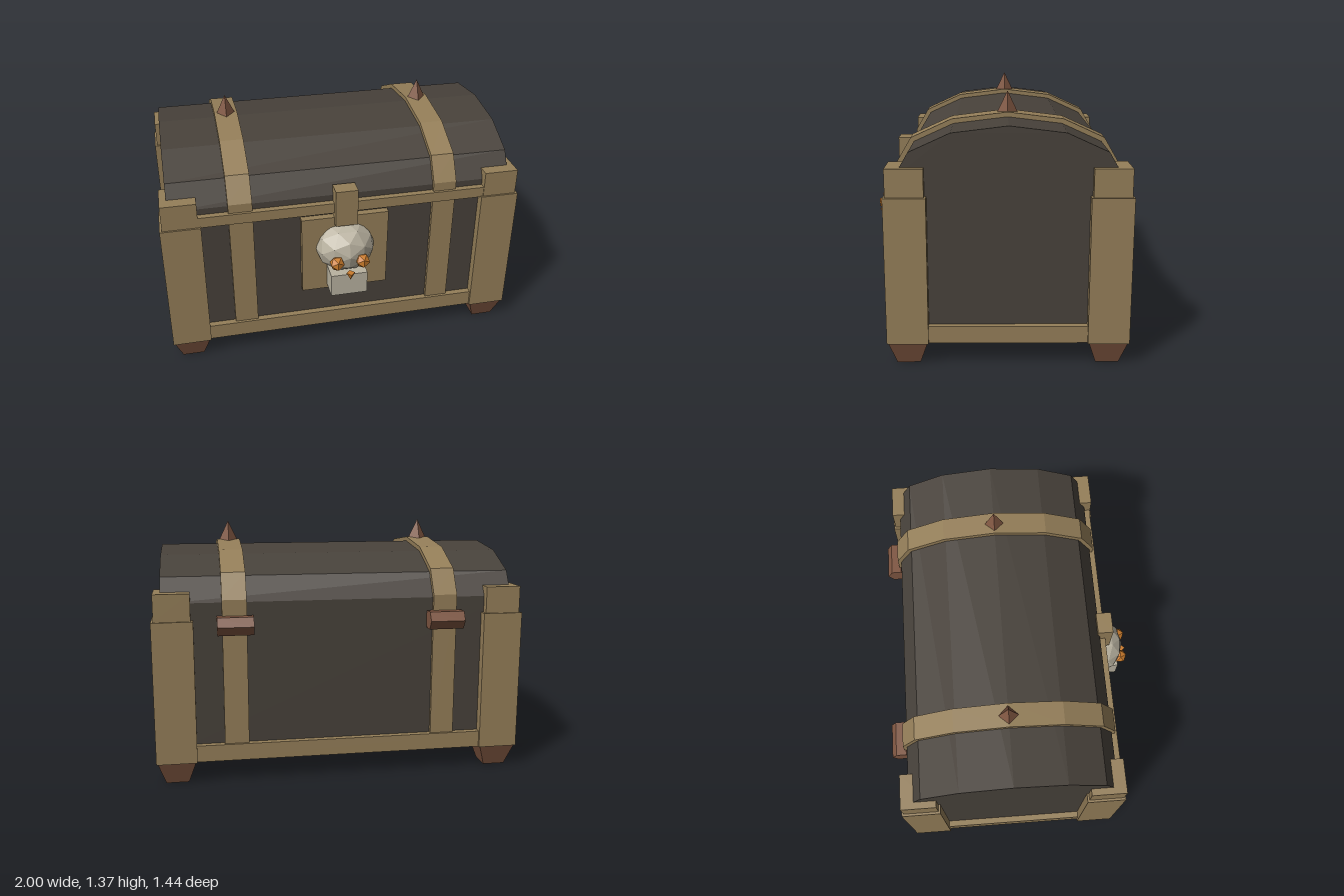
import * as THREE from 'three';

const MID = -0.055; // z of the chest's centre line

export function createModel() {
  const chest = new THREE.Group();
  chest.name = 'chest';
  const mat = (name, color) => {
    const m = new THREE.MeshStandardMaterial({ color });
    m.name = name;
    return m;
  };
  const leather = mat('dark leather', 0x48423b);
  const wood = mat('tan wood', 0x957f59);
  const rust = mat('rusty iron', 0x7f5641);
  const bone = mat('bone', 0xbab3a1);
  const amber = mat('amber', 0xcb7c2c);

  // Faceted mesh placed at a point
  const add = (name, geometry, material, x = 0, y = 0, z = 0) => {
    const g = geometry.index ? geometry.toNonIndexed() : geometry;
    g.computeVertexNormals();
    const mesh = new THREE.Mesh(g, material);
    mesh.name = name;
    mesh.position.set(x, y, z);
    chest.add(mesh);
    return mesh;
  };
  // Box given by its limits on each axis
  const box = (name, material, [x0, x1], [y0, y1], [z0, z1]) =>
    add(name, new THREE.BoxGeometry(x1 - x0, y1 - y0, z1 - z0), material,
      (x0 + x1) / 2, (y0 + y1) / 2, (z0 + z1) / 2);

  // Domed cross-section drawn out along x
  const domed = (halfDepth, bottom, spring, rise, width) => {
    const shape = new THREE.Shape();
    shape.moveTo(-halfDepth, bottom);
    shape.lineTo(halfDepth, bottom);
    for (let i = 0; i <= 6; i++) {
      const a = (i * Math.PI) / 6;
      shape.lineTo(halfDepth * Math.cos(a), spring + rise * Math.sin(a));
    }
    const g = new THREE.ExtrudeGeometry(shape, { depth: width, bevelEnabled: false });
    g.translate(0, 0, -width / 2);
    g.rotateY(-Math.PI / 2);
    return g;
  };

  // Body with domed lid, base frame and front rim
  add('bodyAndLid', domed(0.57, 0.15, 0.975, 0.26, 1.9), leather, 0, 0, MID);
  box('baseFrame', wood, [-0.985, 0.985], [0.12, 0.21], [-0.66, 0.55]);
  box('frontRim', wood, [-0.9, 0.9], [0.88, 0.94], [0.45, 0.55]);

  for (const s of [-1, 1]) {
    // Strap around the body, with a spike on top and a hinge behind
    add('strap', domed(0.59, 0.18, 0.99, 0.27, 0.13), wood, s * 0.57, 0, MID);
    add('spike', new THREE.ConeGeometry(0.055, 0.115, 4), rust, s * 0.57, 1.308, MID);
    const hinge = new THREE.CylinderGeometry(0.055, 0.055, 0.19, 6);
    hinge.rotateZ(Math.PI / 2);
    add('hinge', hinge, rust, s * 0.567, 0.858, -0.665);

    for (const f of [-1, 1]) {
      // Corner post, its cap and its tapered foot
      const x = s * 0.892;
      const z = MID + f * 0.513;
      add('cornerPost', new THREE.BoxGeometry(0.216, 0.765, 0.213), wood, x, 0.5025, z);
      add('postCap', new THREE.BoxGeometry(0.19, 0.145, 0.192), wood, x, 0.9575, z);
      const foot = new THREE.CylinderGeometry(0.1 * Math.SQRT2, 0.06 * Math.SQRT2, 0.12, 4);
      foot.rotateY(Math.PI / 4);
      add('foot', foot, rust, x, 0.06, z);
    }
  }

  // Lock plate and clasp
  box('lockPlate', wood, [-0.245, 0.245], [0.385, 0.855], [0.5, 0.555]);
  box('clasp', wood, [-0.062, 0.062], [0.815, 1.03], [0.5, 0.588]);

  // Skull lock
  const skull = new THREE.IcosahedronGeometry(1, 1);
  skull.scale(0.17, 0.15, 0.15);
  add('skull', skull, bone, 0, 0.665, 0.54);
  box('jaw', bone, [-0.103, 0.103], [0.412, 0.545], [0.52, 0.67]);
  for (const s of [-1, 1]) {
    add('eye', new THREE.IcosahedronGeometry(0.043, 0), amber, s * 0.072, 0.632, 0.675);
  }
  const nose = new THREE.ConeGeometry(0.025, 0.045, 4);
  nose.rotateX(Math.PI);
  add('nose', nose, amber, 0, 0.553, 0.698);

  return chest;
}
